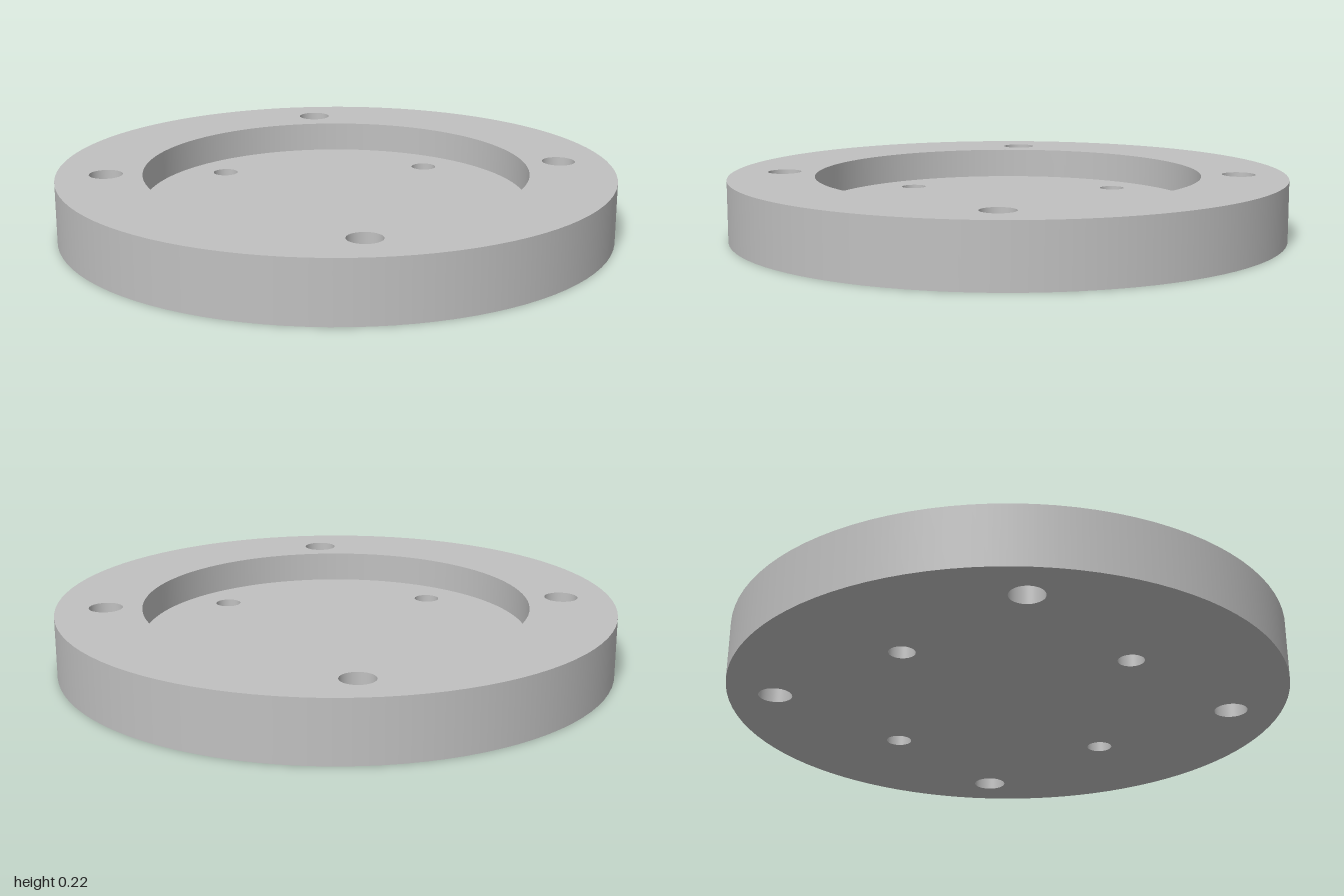
import * as THREE from 'three';

const SEGMENTS = 96;
const HEIGHT = 0.218, FLOOR = 0.109;
const OUTER_R = 1, RECESS_R = 0.693;

// Bolt holes as [x, z, radius]
const outerHoles = [];
for (const x of [-0.587, 0.576]) for (const z of [-0.587, 0.576]) outerHoles.push([x, z, 0.06]);
const innerHoles = [[0.546, 0], [-0.546, 0], [0, 0.546], [0, -0.546]].map(([x, z]) => [x, z, 0.046]);

export function createModel() {
  const group = new THREE.Group();
  const metal = new THREE.MeshStandardMaterial({ color: 0xc0c0c0 });
  metal.name = 'grey metal';

  const add = (name, geometry) => {
    const mesh = new THREE.Mesh(geometry, metal);
    mesh.name = name;
    group.add(mesh);
  };

  // Flat horizontal disc with round openings, facing up or down
  const face = (name, radius, holes, y, up) => {
    const s = up ? -1 : 1;
    const shape = new THREE.Shape().absarc(0, 0, radius, 0, Math.PI * 2, false);
    for (const [x, z, r] of holes) {
      shape.holes.push(new THREE.Path().absarc(x, s * z, r, 0, Math.PI * 2, true));
    }
    add(name, new THREE.ShapeGeometry(shape, SEGMENTS / 2).rotateX(s * Math.PI / 2).translate(0, y, 0));
  };

  // Smooth cylindrical wall: faces outward if y0 < y1, inward if y0 > y1
  const wall = (name, radius, y0, y1, x = 0, z = 0) => {
    const profile = [new THREE.Vector2(radius, y0), new THREE.Vector2(radius, y1)];
    add(name, new THREE.LatheGeometry(profile, SEGMENTS).translate(x, 0, z));
  };

  // Flange body with a shallow round recess
  face('bottomFace', OUTER_R, [...outerHoles, ...innerHoles], 0, false);
  face('rimFace', OUTER_R, [[0, 0, RECESS_R], ...outerHoles], HEIGHT, true);
  face('recessFloor', RECESS_R, innerHoles, FLOOR, true);
  wall('outerWall', OUTER_R, 0, HEIGHT);
  wall('recessWall', RECESS_R, HEIGHT, FLOOR);

  // Bores of the through holes
  for (const [x, z, r] of outerHoles) wall('rimHole', r, HEIGHT, 0, x, z);
  for (const [x, z, r] of innerHoles) wall('floorHole', r, FLOOR, 0, x, z);

  return group;
}
